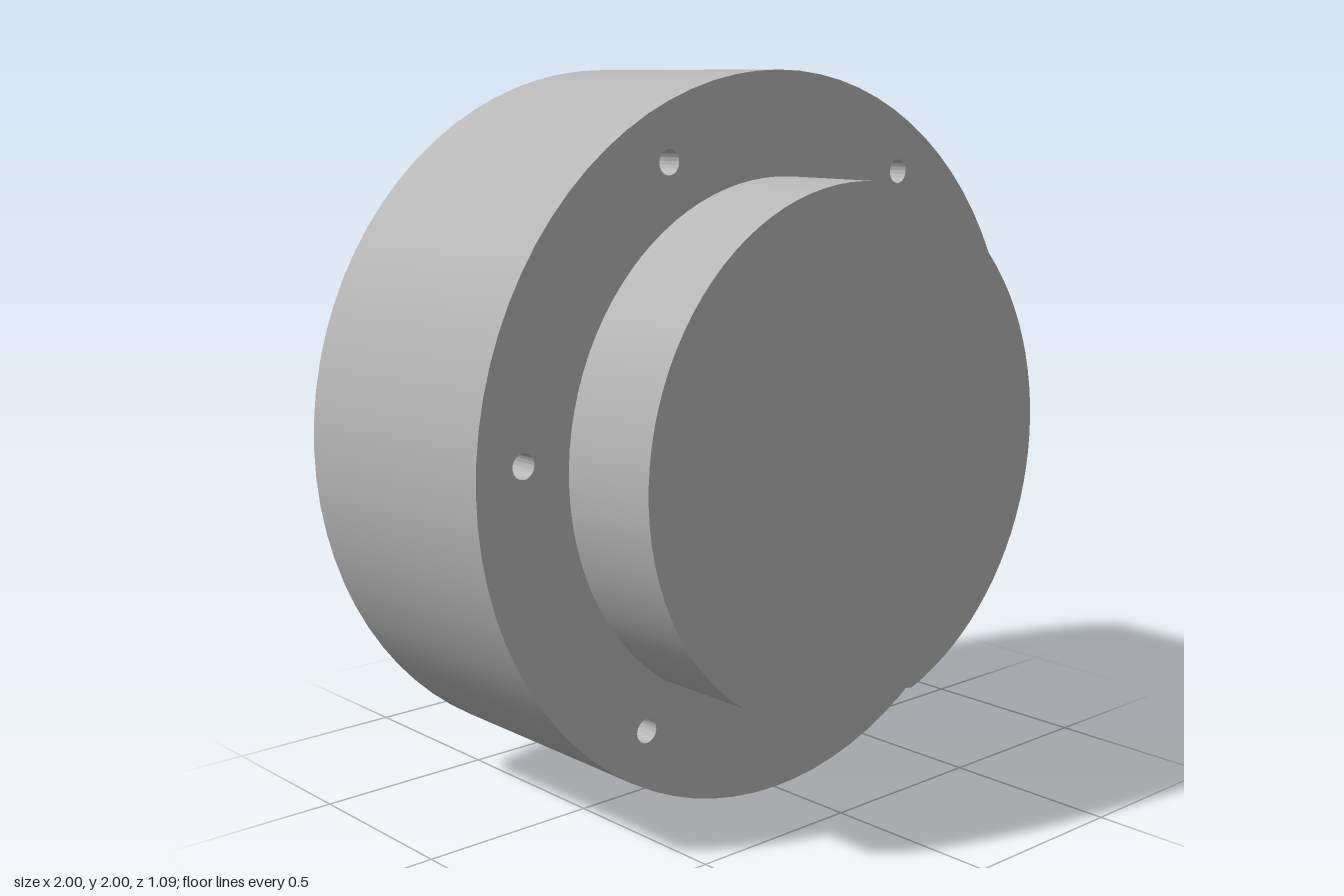
import * as THREE from 'three';
import { toCreasedNormals } from 'three/addons/utils/BufferGeometryUtils.js';

const rad = THREE.MathUtils.degToRad;

function disc(radius) {
  const shape = new THREE.Shape();
  shape.absarc(0, 0, radius, 0, Math.PI * 2, false);
  return shape;
}

// Cuts a round hole into a shape, placed by ring radius and angle in degrees
function drill(shape, ring, angle, radius) {
  const hole = new THREE.Path();
  const a = rad(angle);
  hole.absarc(ring * Math.cos(a), ring * Math.sin(a), radius, 0, Math.PI * 2, true);
  shape.holes.push(hole);
}

export function createModel() {
  const group = new THREE.Group();
  const metal = new THREE.MeshStandardMaterial({ color: 0xb8b8b8 });
  metal.name = 'grey metal';

  function slab(name, shape, zBack, zFront) {
    const extruded = new THREE.ExtrudeGeometry(shape, {
      depth: zFront - zBack, bevelEnabled: false, curveSegments: 40,
    });
    const mesh = new THREE.Mesh(toCreasedNormals(extruded, rad(25)), metal);
    mesh.name = name;
    mesh.position.set(0, 1, zBack);
    group.add(mesh);
  }

  // Main drum with six through bolt holes
  const body = disc(1);
  for (let i = 0; i < 6; i++) drill(body, 0.86, -3.4 + i * 60, 0.033);
  slab('body', body, -0.505, 0.24);

  // Front boss with a slanted flat along its underside
  const boss = new THREE.Shape();
  boss.absarc(0, 0, 0.72, rad(-71.3), rad(235.2), false);
  boss.closePath();
  slab('frontBoss', boss, 0.24, 0.545);

  // Back plate and hub share a ring of six screw holes and two pin holes
  const plate = disc(0.62);
  const hub = disc(0.32);
  for (const shape of [plate, hub]) {
    for (let i = 0; i < 6; i++) drill(shape, 0.253, 6 + i * 60, 0.033);
    for (const angle of [96, 276]) drill(shape, 0.253, angle, 0.038);
  }
  drill(hub, 0, 0, 0.117); // central recess
  slab('backPlate', plate, -0.532, -0.505);
  slab('backHub', hub, -0.545, -0.532);

  return group;
}
